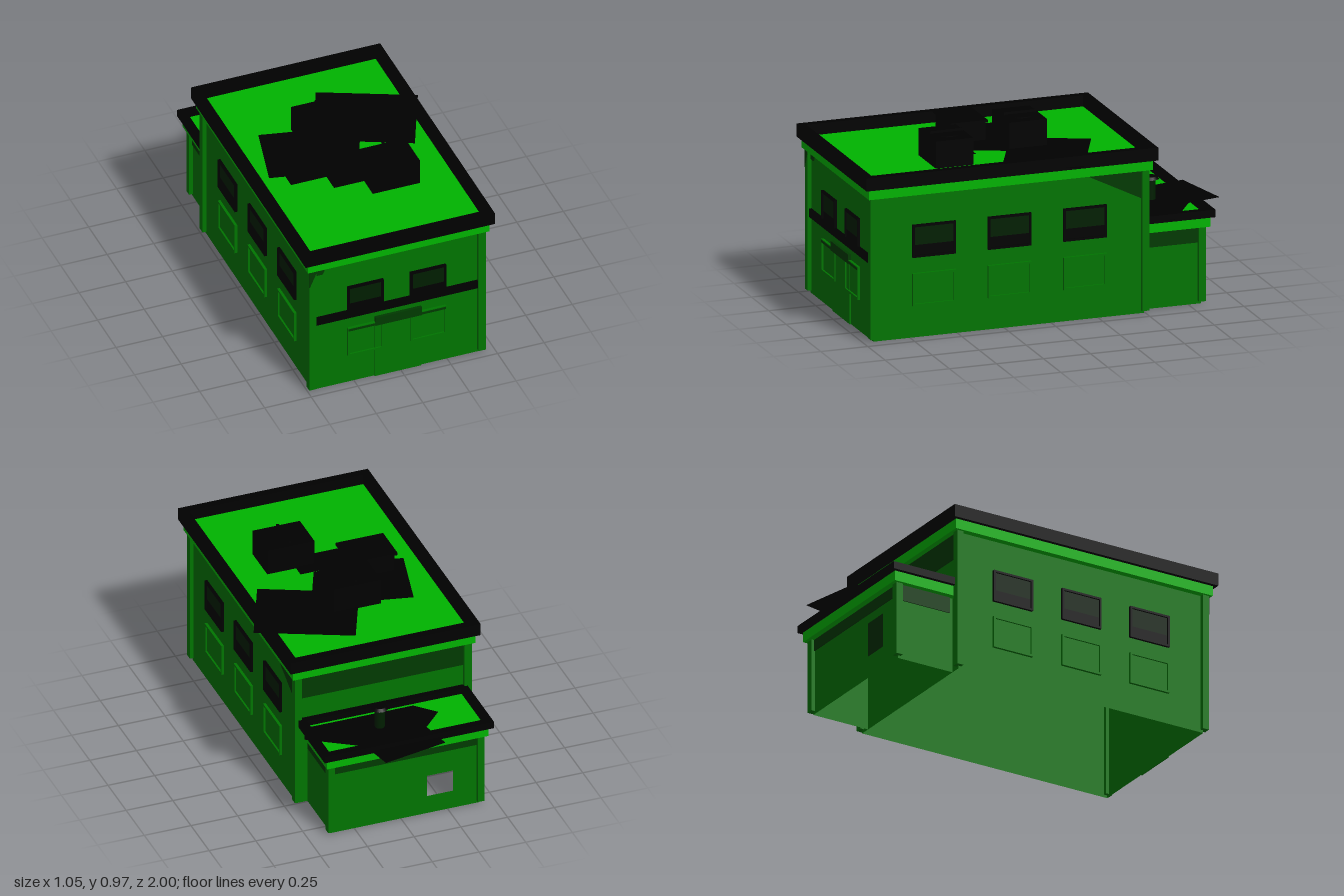
import * as THREE from 'three';

const mat = (name, color, side = THREE.FrontSide) =>
  Object.assign(new THREE.MeshStandardMaterial({ color, side }), { name });

export function createModel() {
  const wall = mat('wall green', 0x007500, THREE.DoubleSide);
  const bright = mat('bright green', 0x00b400);
  const black = mat('black', 0x000000, THREE.DoubleSide);
  const dark = mat('dark green', 0x003a00);
  const glass = mat('glass green', 0x001e00);

  const root = new THREE.Group();
  root.name = 'building';

  const add = (name, geo, m, parent = root) => {
    const mesh = new THREE.Mesh(geo, m);
    mesh.name = name;
    parent.add(mesh);
    return mesh;
  };
  // Box given by its limits on each axis
  const box = (name, m, x0, x1, y0, y1, z0, z1, parent) =>
    add(name, new THREE.BoxGeometry(x1 - x0, y1 - y0, z1 - z0)
      .translate((x0 + x1) / 2, (y0 + y1) / 2, (z0 + z1) / 2), m, parent);
  const rect = (C, x0, x1, y0, y1) => new C([[x0, y0], [x1, y0], [x1, y1], [x0, y1]]
    .map(p => new THREE.Vector2(...p)));
  const extrude = (shape, depth) => new THREE.ExtrudeGeometry(shape, { depth, bevelEnabled: false });
  const poly = pts => new THREE.Shape(pts.map(p => new THREE.Vector2(...p)));
  // Upright wall sheet whose outside looks along the given angle about y
  const sheet = (name, w, h, x, z, angle) =>
    add(name, new THREE.PlaneGeometry(w, h).rotateY(angle).translate(x, h / 2, z), wall);

  // Black rim around a roof
  const parapet = (name, x0, x1, z0, z1, y0, y1, t) => {
    const s = rect(THREE.Shape, x0, x1, z0, z1);
    s.holes.push(rect(THREE.Path, x0 + t, x1 - t, z0 + t, z1 - t));
    add(name, extrude(s, y1 - y0).rotateX(Math.PI / 2).translate(0, y1, 0), black);
  };

  // Main block: four wall sheets, open underneath
  const mx0 = -0.475, mx1 = 0.431, mz0 = -0.495, mz1 = 0.945, mh = 0.76;
  const mx = (mx0 + mx1) / 2, mz = (mz0 + mz1) / 2;
  sheet('mainFrontWall', mx1 - mx0, mh, mx, mz1, 0);
  sheet('mainBackWall', mx1 - mx0, mh, mx, mz0, Math.PI);
  sheet('mainLeftWall', mz1 - mz0, mh, mx1, mz, Math.PI / 2);
  sheet('mainRightWall', mz1 - mz0, mh, mx0, mz, -Math.PI / 2);
  box('mainCeiling', dark, mx0 + 0.002, mx1 - 0.002, 0.744, 0.75, mz0 + 0.002, mz1 - 0.002);
  for (const x of [-0.497, 0.412])
    for (const z of [-0.515, 0.929])
      box('mainCornerPillar', wall, x, x + 0.038, 0.015, 0.75, z, z + 0.037);
  box('mainCornice', bright, -0.51, 0.465, 0.75, 0.806, -0.53, 0.98);
  box('mainRoof', bright, -0.5, 0.455, 0.806, 0.812, -0.52, 0.97);
  parapet('mainParapet', -0.53, 0.485, -0.55, 1.0, 0.803, 0.87, 0.04);

  // Rear annex: open shell with a window opening in the back wall
  const ax0 = -0.42, ax1 = 0.375, az = -0.817, ah = 0.41;
  const back = rect(THREE.Shape, -ax1, -ax0, 0, ah);
  back.holes.push(rect(THREE.Path, 0.14, 0.28, 0.1, 0.3));
  add('annexBackWall', new THREE.ShapeGeometry(back).rotateY(Math.PI).translate(0, 0, az), wall);
  sheet('annexLeftWall', mz0 - az, ah, ax1, (az + mz0) / 2, Math.PI / 2);
  sheet('annexRightWall', mz0 - az, ah, ax0, (az + mz0) / 2, -Math.PI / 2);
  box('annexCeiling', dark, ax0 + 0.002, ax1 - 0.002, 0.399, 0.405, az + 0.002, mz0 - 0.002);
  for (const x of [-0.441, 0.359])
    box('annexCornerPillar', wall, x, x + 0.037, 0.015, 0.405, -0.837, -0.8);
  box('annexCornice', bright, -0.455, 0.41, 0.405, 0.458, -0.855, -0.49);
  box('annexRoof', bright, -0.45, 0.405, 0.458, 0.464, -0.85, -0.49);
  parapet('annexParapet', -0.475, 0.43, -0.875, -0.49, 0.458, 0.497, 0.037);

  // Dark bands and patches below the eaves
  box('annexBackBand', dark, -0.404, 0.359, 0.345, 0.405, az - 0.006, az - 0.001);
  box('annexLeftBand', dark, ax1 + 0.001, ax1 + 0.006, 0.32, 0.405, -0.8, -0.515);
  box('annexRightBand', dark, ax0 - 0.006, ax0 - 0.001, 0.32, 0.405, -0.8, -0.515);
  box('mainBackBand', dark, -0.459, 0.412, 0.615, 0.75, mz0 - 0.006, mz0 - 0.001);
  add('sidePatch', extrude(poly([[0.18, 0.75], [0.478, 0.6], [0.478, 0.75]]), 0.006)
    .rotateY(Math.PI / 2).translate(mx1 + 0.001, 0, 0), dark);
  add('frontPatch', extrude(poly([[-0.459, 0.7], [-0.42, 0.7], [-0.41, 0.72], [-0.41, 0.75], [-0.459, 0.75]]), 0.005)
    .translate(0, 0, mz1 + 0.001), dark);
  add('pillarPatch', extrude(poly([[-0.495, 0.65], [-0.46, 0.73], [-0.46, 0.75], [-0.495, 0.75]]), 0.003)
    .translate(0, 0, 0.9665), dark);

  // Window facing +z, centred on its own origin
  const makeWindow = (w, h, upper) => {
    const g = new THREE.Group();
    g.name = upper ? 'upperWindow' : 'lowerWindow';
    const t = 0.011, a = w / 2, b = h / 2, split = -b * 0.25;
    const s = rect(THREE.Shape, -a, a, -b, b);
    s.holes.push(rect(THREE.Path, -a + t, a - t, -b + t, b - t));
    add('windowFrame', extrude(s, 0.014), upper ? black : wall, g);
    if (upper) {
      box('paneLower', black, -a + t, a - t, -b + t, split, 0.001, 0.005, g);
      box('paneUpper', glass, -a + t, a - t, split, b - t, 0.001, 0.005, g);
    } else {
      box('pane', wall, -a + t, a - t, -b + t, b - t, 0.001, 0.005, g);
    }
    root.add(g);
    return g;
  };
  for (const [y, upper] of [[0.503, true], [0.25, false]]) {
    for (const x of [-0.19, 0.146])
      makeWindow(0.192, 0.17, upper).position.set(x, y, mz1);
    for (const z of [0.625, 0.224, -0.178])
      for (const [x, s] of [[mx1, 1], [mx0, -1]]) {
        const g = makeWindow(0.23, 0.17, upper);
        g.position.set(x, y, z);
        g.rotation.y = s * Math.PI / 2;
      }
  }

  // Front band, door and canopy
  box('frontBand', black, -0.459, 0.412, 0.4, 0.443, 0.946, 0.96);
  box('door', wall, -0.14, 0.11, 0, 0.316, 0.946, 0.952);
  box('doorCanopy', dark, -0.14, 0.11, 0.316, 0.365, 0.946, 0.962);
  for (const x of [-0.285, 0.11])
    box('windowHead', dark, x, x + (x < 0 ? 0.145 : 0.13), 0.318, 0.331, 0.946, 0.9605);

  // Roof units, each with a round fan and a raised bar across it
  for (const [x, z] of [[0.135, 0.45], [-0.043, -0.007]]) {
    box('fanUnit', black, x - 0.126, x + 0.126, 0.812, 0.952, z - 0.1, z + 0.1);
    add('fanDisc', new THREE.CylinderGeometry(0.083, 0.083, 0.005, 24).translate(x, 0.957, z), black);
    box('fanBar', black, x - 0.007, x + 0.007, 0.956, 0.971, z - 0.085, z + 0.085);
  }
  box('cappedUnit', black, -0.342, -0.11, 0.812, 0.908, 0.15, 0.33);
  box('unitCap', black, -0.355, -0.1, 0.908, 0.921, 0.14, 0.34);

  // Flat dark sheets lying on the roofs, outlines in (x, z)
  const sheets = [
    [0.817, [[0.06, -0.35], [0.525, -0.14], [0.36, 0.235], [0.11, 0.12], [0.04, 0.28], [-0.08, 0.28], [-0.05, -0.1]]],
    [0.816, [[-0.34, -0.12], [-0.425, 0.24], [-0.06, 0.32], [0.02, -0.04]]],
    [0.818, [[-0.155, 0.28], [0.11, 0.28], [0.11, 0.44], [-0.155, 0.44]]],
    [0.47, [[-0.195, -0.93], [0.15, -1.0], [0.19, -0.82], [0.45, -0.65], [0.41, -0.55],
      [-0.17, -0.55], [-0.265, -0.65], [-0.16, -0.76]]],
  ];
  for (const [y, pts] of sheets)
    add('roofSheet', new THREE.ShapeGeometry(poly(pts.map(([x, z]) => [x, -z])))
      .rotateX(-Math.PI / 2).translate(0, y, 0), black);

  // Vent pipe on the annex
  add('ventPipe', new THREE.CylinderGeometry(0.025, 0.025, 0.12, 16).translate(0.055, 0.52, -0.668), glass);
  add('ventCap', new THREE.CylinderGeometry(0.03, 0.042, 0.014, 16).translate(0.055, 0.582, -0.668), black);

  return root;
}
